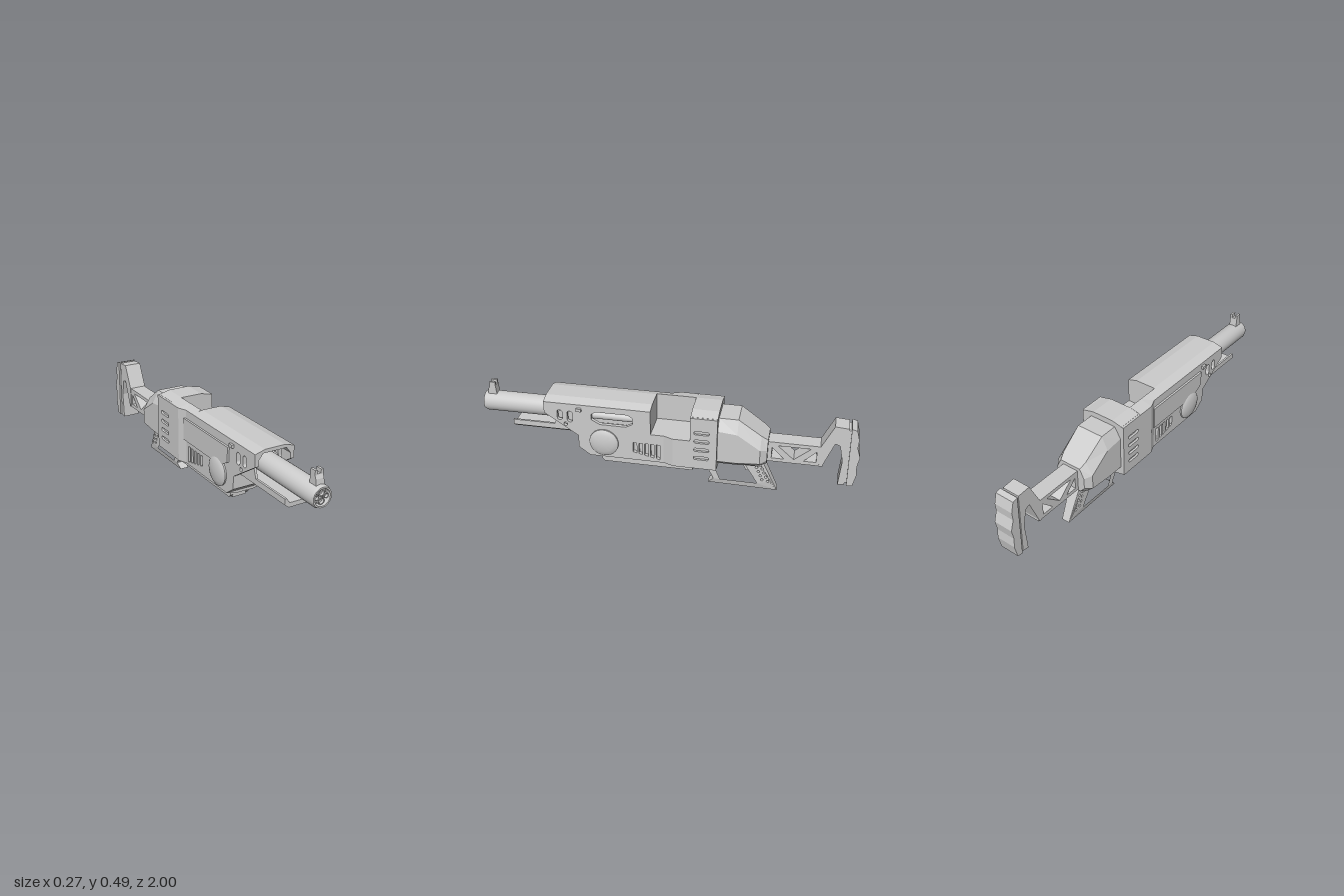
import * as THREE from 'three';
import { toCreasedNormals } from 'three/addons/utils/BufferGeometryUtils.js';

const material = new THREE.MeshStandardMaterial({ color: 0xcccccc });
const V = ([a, b]) => new THREE.Vector2(a, b);

// Side profile of [z, y] points, extruded from x0 to x1
function sideExtrude(points, x0, x1, holes = []) {
  const shape = new THREE.Shape(points.map(V));
  shape.holes = holes;
  const geo = new THREE.ExtrudeGeometry(shape, { depth: x1 - x0, bevelEnabled: false, curveSegments: 8 });
  return geo.rotateY(-Math.PI / 2).translate(x1, 0, 0);
}

// Rounded slot hole in a side profile
function slot(z, y, w, h) {
  const p = new THREE.Path(), r = Math.min(w, h) / 2;
  if (w > h) {
    p.absarc(z + w / 2 - r, y, r, -Math.PI / 2, Math.PI / 2);
    p.absarc(z - w / 2 + r, y, r, Math.PI / 2, Math.PI * 1.5);
  } else {
    p.absarc(z, y + h / 2 - r, r, 0, Math.PI);
    p.absarc(z, y - h / 2 + r, r, Math.PI, Math.PI * 2);
  }
  return p;
}
const polyHole = (pts) => new THREE.Path(pts.map(V));

// Loft of [z, points] rings; points run anticlockwise in x, y and z falls
function loft(rings) {
  const pos = [];
  const put = (ring, k) => pos.push(...ring[1][k % ring[1].length], ring[0]);
  for (let i = 0; i < rings.length - 1; i++) {
    const a = rings[i], b = rings[i + 1];
    for (let k = 0; k < a[1].length; k++) {
      put(a, k); put(b, k); put(a, k + 1);
      put(a, k + 1); put(b, k); put(b, k + 1);
    }
  }
  const first = rings[0], last = rings[rings.length - 1];
  for (const t of THREE.ShapeUtils.triangulateShape(first[1].map(V), [])) t.forEach((k) => put(first, k));
  for (const t of THREE.ShapeUtils.triangulateShape(last[1].map(V), [])) [t[0], t[2], t[1]].forEach((k) => put(last, k));
  const geo = new THREE.BufferGeometry();
  geo.setAttribute('position', new THREE.Float32BufferAttribute(pos, 3));
  geo.computeVertexNormals();
  return geo;
}

const box = (x0, x1, y0, y1, z0, z1) => new THREE.BoxGeometry(x1 - x0, y1 - y0, z1 - z0)
  .translate((x0 + x1) / 2, (y0 + y1) / 2, (z0 + z1) / 2);
const lathe = (pts, seg = 32) => toCreasedNormals(new THREE.LatheGeometry(pts.map(V), seg), 0.6);

export function createModel() {
  const model = new THREE.Group();
  const add = (name, geo) => {
    const mesh = new THREE.Mesh(geo, material);
    mesh.name = name;
    model.add(mesh);
    return mesh;
  };

  // Barrel with recessed muzzle and four inner tubes
  const bx = 0.37;
  add('barrel', lathe([[0.055, 0.42], [0.055, 0.985], [0.05, 1], [0.042, 1], [0.04, 0.97], [0, 0.97]])
    .rotateX(Math.PI / 2).translate(0, bx, 0));
  for (const [x, y, r] of [[0, 0.02, 0.018], [0, -0.02, 0.018], [0.026, 0, 0.013], [-0.026, 0, 0.013]]) {
    add('muzzleTube', lathe([[r, 0.96], [r, 0.992], [r * 0.75, 0.992], [r * 0.7, 0.98], [r * 0.25, 0.98], [r * 0.2, 0.975], [0, 0.975]], 20)
      .rotateX(Math.PI / 2).translate(x, bx + y, 0));
  }

  // Front sight
  add('sightBase', sideExtrude([[0.93, 0.415], [0.98, 0.415], [0.975, 0.45], [0.965, 0.47], [0.935, 0.47]], -0.022, 0.022));
  for (const s of [-1, 1]) add('sightPost', box(s * 0.016 - 0.006, s * 0.016 + 0.006, 0.46, 0.49, 0.935, 0.967));

  // Tray under the barrel
  const tray = [[0.05, 0.257], [0.073, 0.275], [0.073, 0.305], [0.062, 0.305], [0.045, 0.28],
    [-0.045, 0.28], [-0.062, 0.305], [-0.073, 0.305], [-0.073, 0.275], [-0.05, 0.257]];
  add('barrelTray', loft([[0.83, tray], [0.45, tray]]));
  for (const s of [-1, 1]) {
    add('trayCheek', sideExtrude([[0.45, 0.3], [0.6, 0.3], [0.57, 0.39], [0.45, 0.39]], s * 0.068 - 0.006, s * 0.068 + 0.006));
  }

  // Body core, bottom skin and roof
  add('bodyCore', sideExtrude([[0, 0.155], [0.4, 0.155], [0.46, 0.2], [0.46, 0.32], [0, 0.32]], -0.09, 0.09));
  add('upperCore', box(-0.09, 0.04, 0.32, 0.455, 0.07, 0.46));
  add('upperCoreRear', box(0.04, 0.09, 0.32, 0.455, 0.07, 0.15));
  add('upperCoreFront', box(0.04, 0.09, 0.32, 0.455, 0.41, 0.46));
  const keel = [[-0.11, 0.155], [-0.05, 0.14], [0.05, 0.14], [0.11, 0.155]];
  add('bodyBottom', loft([[0.4, keel], [0, keel]]));
  const roof = [[0.11, 0.43], [0.11, 0.455], [0.055, 0.47], [-0.055, 0.47], [-0.11, 0.455], [-0.11, 0.43],
    [-0.09, 0.42], [-0.065, 0.452], [0.065, 0.452], [0.09, 0.42]];
  add('roof', loft([[0.64, roof], [0.07, roof]]));

  // Side plates with shroud slots, vents and the open window on the left
  const plate = [[0, 0.155], [0.4, 0.155], [0.46, 0.2], [0.46, 0.27], [0.64, 0.39], [0.64, 0.43], [0.07, 0.43], [0.07, 0.32], [0, 0.32]];
  for (const s of [-1, 1]) {
    const holes = [slot(0.555, 0.385, 0.028, 0.06), slot(0.5, 0.38, 0.03, 0.065), slot(0.525, 0.333, 0.02, 0.022)];
    for (let i = 0; i < 5; i++) {
      const z = 0.02 + i * 0.031, low = 0.17 + i * 0.007;
      holes.push(polyHole([[z, low], [z + 0.02, low + 0.006], [z + 0.02, 0.26], [z, 0.26]]));
    }
    if (s > 0) {
      holes.push(polyHole([[0.2, 0.35], [0.34, 0.35], [0.385, 0.375], [0.385, 0.405], [0.36, 0.422], [0.19, 0.422], [0.165, 0.405], [0.165, 0.37]]));
    }
    add('sidePlate', sideExtrude(plate, s * 0.1 - 0.01, s * 0.1 + 0.01, holes));
    add('sideDisc', lathe([[0.078, 0], [0.078, 0.01], [0.068, 0.016], [0.05, 0.022], [0, 0.027]], 28)
      .rotateZ(-s * Math.PI / 2).translate(s * 0.108, 0.245, 0.32));
    add('sidePeg', box(s * 0.115 - 0.008, s * 0.115 + 0.008, 0.42, 0.437, 0.435, 0.462));
  }
  add('windowBar', new THREE.CylinderGeometry(0.022, 0.022, 0.27, 16).rotateX(Math.PI / 2).translate(0.062, 0.38, 0.28));
  add('rightPanel', sideExtrude([[-0.01, 0.29], [0.35, 0.29], [0.42, 0.33], [0.42, 0.41], [-0.01, 0.41]], -0.121, -0.109));

  // Rear body with the open bay on the left
  const floor = (w) => [[-w, 0.155], [-0.05, 0.14], [0.05, 0.14], [w, 0.155], [w, 0.32], [-w, 0.32]];
  const wall = (w) => [[-0.06, 0.32], [-0.06, 0.47], [-w, 0.455], [-w, 0.32]];
  add('bayFloor', loft([[0, floor(0.11)], [-0.05, floor(0.13)], [-0.14, floor(0.13)]]));
  add('bayWall', loft([[0.07, wall(0.11)], [0, wall(0.11)], [-0.05, wall(0.13)], [-0.14, wall(0.13)]]));
  const block = [[-0.118, 0.155], [-0.05, 0.14], [0.05, 0.14], [0.118, 0.155], [0.118, 0.456], [0.06, 0.47], [-0.06, 0.47], [-0.118, 0.456]];
  add('rearBlock', loft([[-0.14, block], [-0.28, block]]));
  for (const s of [-1, 1]) {
    const vents = [0.22, 0.27, 0.32, 0.37].map((y) => slot(-0.2, y, 0.08, 0.02));
    add('ventPlate', sideExtrude([[-0.14, 0.155], [-0.14, 0.455], [-0.28, 0.455], [-0.28, 0.155]], s * 0.124 - 0.006, s * 0.124 + 0.006, vents));
  }

  // Sloped rear cover
  const cover = (w, t, bottom, shoulder, top) => [[-w * 0.7, bottom], [w * 0.7, bottom], [w, bottom + 0.03], [w, shoulder],
    [t, top], [-t, top], [-w, shoulder], [-w, bottom + 0.03]];
  add('rearCover', loft([
    [-0.28, cover(0.11, 0.075, 0.17, 0.38, 0.44)], [-0.38, cover(0.11, 0.075, 0.17, 0.37, 0.44)],
    [-0.5, cover(0.11, 0.07, 0.18, 0.29, 0.355)], [-0.535, cover(0.085, 0.06, 0.19, 0.28, 0.33)]]));
  add('rearUnderPlate', box(-0.05, 0.05, 0.155, 0.185, -0.51, -0.27));

  // Truss bar and butt of the stock
  add('stockBar', sideExtrude([[-0.52, 0.195], [-0.82, 0.195], [-0.82, 0.312], [-0.52, 0.312]], -0.045, 0.045, [
    polyHole([[-0.555, 0.215], [-0.555, 0.28], [-0.62, 0.215]]),
    polyHole([[-0.585, 0.292], [-0.755, 0.292], [-0.67, 0.218]]),
    polyHole([[-0.72, 0.215], [-0.785, 0.28], [-0.785, 0.215]])]));
  add('stockButt', sideExtrude([[-0.8, 0.312], [-0.86, 0.44], [-0.93, 0.435], [-0.94, 0.1], [-0.905, 0.095],
    [-0.915, 0.24], [-0.895, 0.33], [-0.87, 0.34], [-0.815, 0.195], [-0.8, 0.195]], -0.048, 0.048));
  add('buttGroove', sideExtrude([[-0.92, 0.425], [-0.96, 0.42], [-0.96, 0.11], [-0.92, 0.11]], -0.043, 0.043));
  add('buttPad', sideExtrude([[-0.942, 0.438], [-0.97, 0.43], [-0.985, 0.375], [-0.982, 0.33], [-1, 0.275], [-0.99, 0.22],
    [-0.995, 0.17], [-0.98, 0.1], [-0.95, 0.095]], -0.053, 0.053));

  // Grip and guard loop, narrowed at the foot
  const gripHoles = [polyHole([[-0.245, 0.145], [-0.29, 0.035], [-0.49, 0.035], [-0.42, 0.145]])];
  for (let row = 0; row < 4; row++) {
    for (let col = 0; col < 2; col++) {
      gripHoles.push(slot(-0.482 - row * 0.011 - col * 0.03, 0.135 - row * 0.025 - col * 0.006, 0.014, 0.014));
    }
  }
  const grip = sideExtrude([[-0.19, 0.16], [-0.255, 0.035], [-0.225, 0.005], [-0.595, 0], [-0.515, 0.17], [-0.19, 0.17]], -0.03, 0.03, gripHoles);
  const gp = grip.attributes.position;
  for (let i = 0; i < gp.count; i++) if (gp.getY(i) < 0.01) gp.setX(i, gp.getX(i) * 0.75);
  grip.computeVertexNormals();
  add('gripAndGuard', grip);
  add('trigger', sideExtrude([[-0.4, 0.16], [-0.45, 0.16], [-0.45, 0.105], [-0.425, 0.1], [-0.415, 0.12]], -0.014, 0.014));

  // Ribbed fore grip
  const fore = (y) => [[-0.033, y], [0.033, y], [0.04, 0.09], [0.04, 0.145], [-0.04, 0.145], [-0.04, 0.09]];
  add('foreGrip', loft([[0.345, fore(0.088)], [-0.145, fore(0.088)]]));
  for (const s of [-1, 1]) {
    add('foreGripRail', sideExtrude([[0.35, 0.15], [0.35, 0.105], [0.335, 0.09], [-0.145, 0.09], [-0.145, 0.15]], s * 0.047 - 0.008, s * 0.047 + 0.008));
  }
  for (let i = 0; i < 14; i++) {
    const z = -0.135 + i * 0.035;
    add('foreGripRib', box(-0.032, 0.032, 0.08, 0.092, z - 0.009, z + 0.009));
  }
  return model;
}
